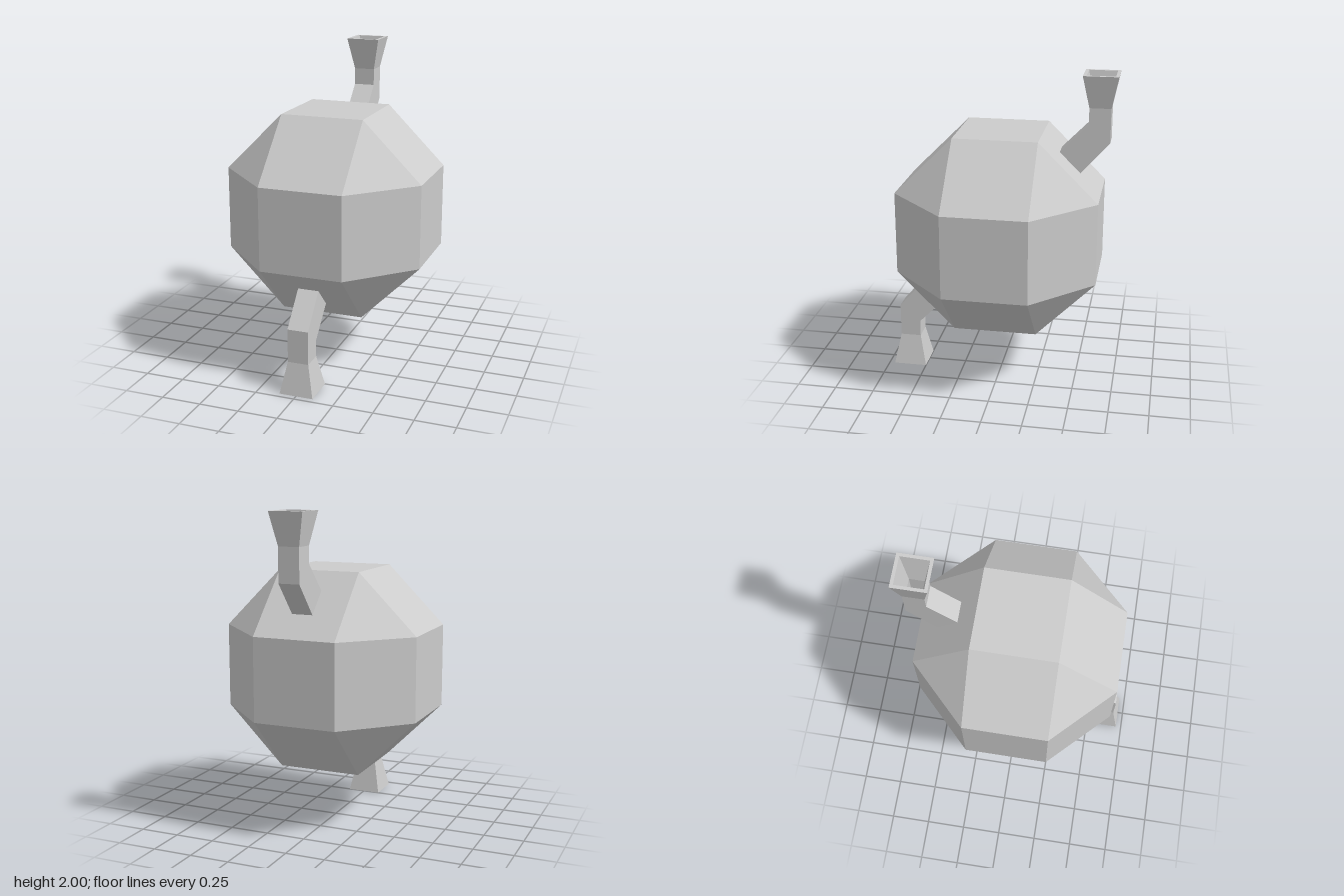
import * as THREE from 'three';
import { ConvexGeometry } from 'three/addons/geometries/ConvexGeometry.js';

const material = new THREE.MeshStandardMaterial({ color: 0xcccccc, flatShading: true });

// Faceted vessel: every permutation of (a, a, b) with all signs
function vesselGeometry(a, b) {
  const points = [];
  for (const sx of [-1, 1]) for (const sy of [-1, 1]) for (const sz of [-1, 1]) {
    for (const [x, y, z] of [[a, a, b], [a, b, a], [b, a, a]]) {
      points.push(new THREE.Vector3(sx * x, sy * y, sz * z));
    }
  }
  return new ConvexGeometry(points);
}

// Skin rectangular sections [halfWidth, zFront, yFront, zBack, yBack] in order
function ductGeometry(sections) {
  const rings = sections.map(([h, zf, yf, zb, yb]) =>
    [[-h, yf, zf], [h, yf, zf], [h, yb, zb], [-h, yb, zb]]);
  const positions = [];
  for (let i = 0; i < rings.length - 1; i++) {
    for (let j = 0; j < 4; j++) {
      const k = (j + 1) % 4;
      const a = rings[i][j], b = rings[i][k], c = rings[i + 1][k], d = rings[i + 1][j];
      positions.push(...a, ...b, ...c, ...a, ...c, ...d);
    }
  }
  const geometry = new THREE.BufferGeometry();
  geometry.setAttribute('position', new THREE.Float32BufferAttribute(positions, 3));
  geometry.computeVertexNormals();
  return geometry;
}

// Hollow bent pipe with a flared square mouth, relative to the vessel centre
function pipeGeometry() {
  const zc = -0.607;
  const level = (h, y) => [h, zc + h, y, zc - h, y];
  return ductGeometry([
    // outer wall, upwards
    [0.066, -0.35, 0.50, -0.482, 0.372],
    [0.066, zc + 0.066, 0.695, zc - 0.066, 0.589],
    level(0.066, 0.8),
    level(0.107, 1),
    // rim, then inner wall, downwards
    level(0.087, 1),
    level(0.046, 0.8),
    [0.046, zc + 0.046, 0.679, zc - 0.046, 0.605],
    [0.046, -0.37, 0.48, -0.462, 0.392],
  ]);
}

export function createModel() {
  const model = new THREE.Group();
  model.name = 'vesselWithPipes';

  const vessel = new THREE.Mesh(vesselGeometry(0.261, 0.628), material);
  vessel.name = 'vessel';
  vessel.position.y = 1;
  model.add(vessel);

  // The lower pipe is the upper one turned half round the x axis
  const geometry = pipeGeometry();
  for (const [name, turn] of [['upperPipe', 0], ['lowerPipe', Math.PI]]) {
    const pipe = new THREE.Mesh(geometry, material);
    pipe.name = name;
    pipe.position.y = 1;
    pipe.rotation.x = turn;
    model.add(pipe);
  }
  return model;
}
